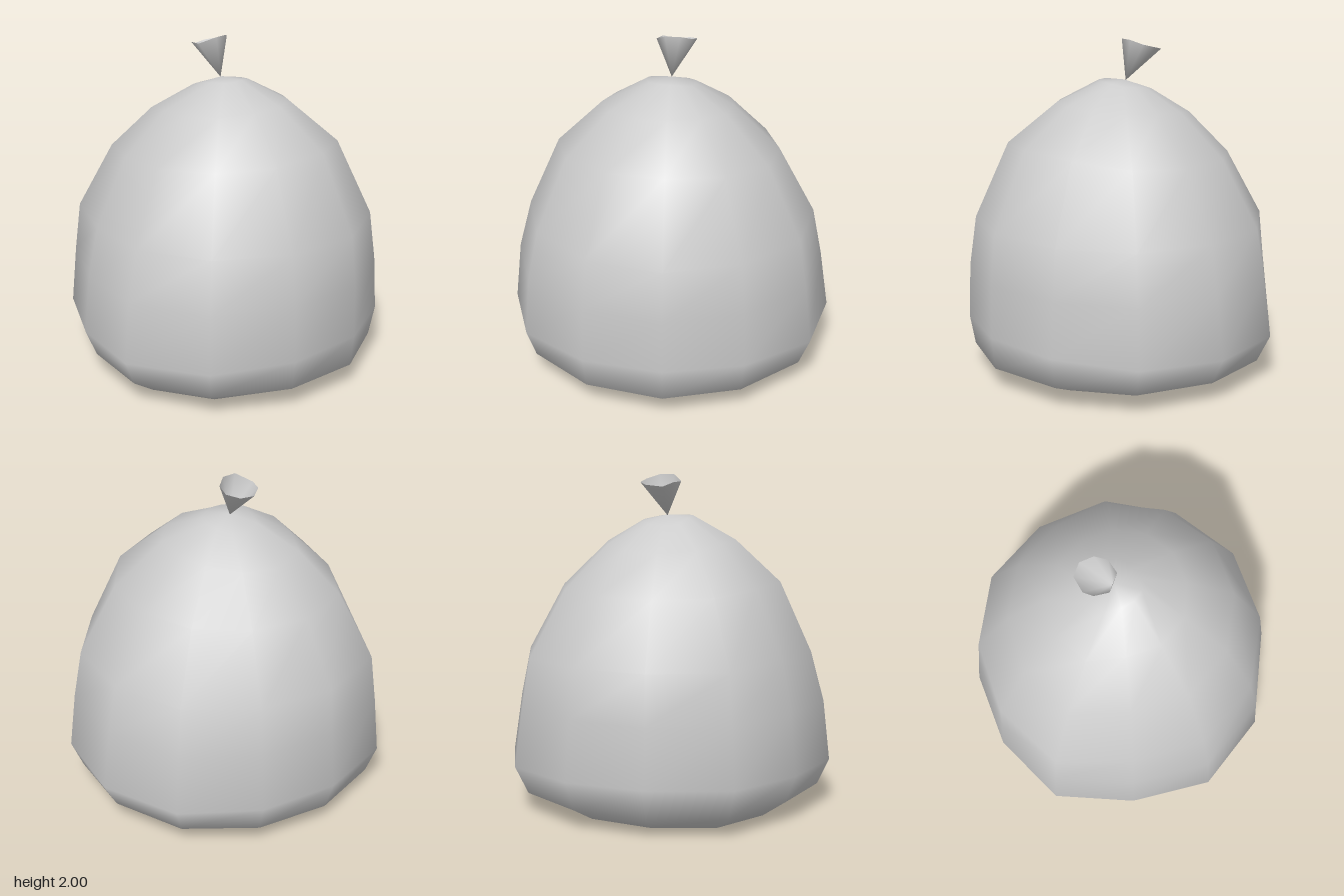
import * as THREE from 'three';

const SIDES = 12;

// Smooth skin over rings of points (bottom to top), closed by optional end points.
function skin(rings, bottom, top) {
  const n = rings[0].length, pos = rings.flat(2), idx = [];
  for (let r = 0; r < rings.length - 1; r++) {
    for (let i = 0; i < n; i++) {
      const a = r * n + i, b = r * n + (i + 1) % n;
      idx.push(a, a + n, b, b, a + n, b + n);
    }
  }
  const cap = (point, ring, up) => {
    const c = pos.length / 3;
    pos.push(...point);
    for (let i = 0; i < n; i++) {
      const a = ring * n + i, b = ring * n + (i + 1) % n;
      if (up) idx.push(a, c, b); else idx.push(a, b, c);
    }
  };
  if (bottom) cap(bottom, 0, false);
  if (top) cap(top, rings.length - 1, true);
  const g = new THREE.BufferGeometry();
  g.setAttribute('position', new THREE.Float32BufferAttribute(pos, 3));
  g.setIndex(idx);
  g.computeVertexNormals();
  return g;
}

export function createModel() {
  const group = new THREE.Group();
  group.name = 'tiedSack';
  const material = new THREE.MeshStandardMaterial({ color: 0xcccccc, side: THREE.DoubleSide });

  // Sack outline as [radius, height] towards left, front, right and back
  const profiles = [
    [[0.72, 0.045], [0.905, 0.13], [0.925, 0.32], [0.92, 0.64], [0.89, 0.94], [0.68, 1.405], [0.38, 1.635], [0.11, 1.755]],
    [[0.75, 0.01], [0.92, 0.125], [0.99, 0.28], [0.95, 0.64], [0.87, 0.94], [0.68, 1.36], [0.41, 1.61], [0.15, 1.755]],
    [[0.72, 0.02], [0.87, 0.11], [0.93, 0.29], [0.9, 0.64], [0.88, 0.93], [0.67, 1.31], [0.44, 1.55], [0.2, 1.7]],
    [[0.72, 0.045], [0.9, 0.12], [0.985, 0.28], [0.93, 0.64], [0.87, 0.93], [0.65, 1.33], [0.37, 1.6], [0.15, 1.73]],
  ];
  // Slight unevenness of each column
  const bulge = [1, 0.995, 1.007, 1, 0.955, 1.04, 1, 0.99, 1.007, 1, 1.02, 0.995];

  const rings = profiles[0].map((_, r) => Array.from({ length: SIDES }, (_, i) => {
    const a = (i / SIDES) * Math.PI * 2;
    const q = Math.floor(i / 3), t = Math.sin(a - q * Math.PI / 2) ** 2;
    const p = profiles[q][r], s = profiles[(q + 1) % 4][r];
    const radius = THREE.MathUtils.lerp(p[0], s[0], t) * bulge[i];
    return [Math.cos(a) * radius, THREE.MathUtils.lerp(p[1], s[1], t), Math.sin(a) * radius];
  }));
  const sack = new THREE.Mesh(skin(rings, [0, 0, 0], [-0.03, 1.76, 0]), material);
  sack.name = 'sack';
  group.add(sack);

  // Open gathered neck, a leaning cone with an uneven rim
  const rim = [
    [-0.035, 2, -0.05], [-0.04, 2, 0.04], [-0.13, 1.96, 0.095], [-0.21, 1.955, 0.06],
    [-0.24, 1.93, 0], [-0.23, 1.94, -0.1], [-0.16, 1.955, -0.145], [-0.08, 1.975, -0.12],
  ];
  const neck = new THREE.Mesh(skin([rim], [-0.04, 1.755, 0], null), material);
  neck.name = 'gatheredNeck';
  group.add(neck);

  return group;
}
